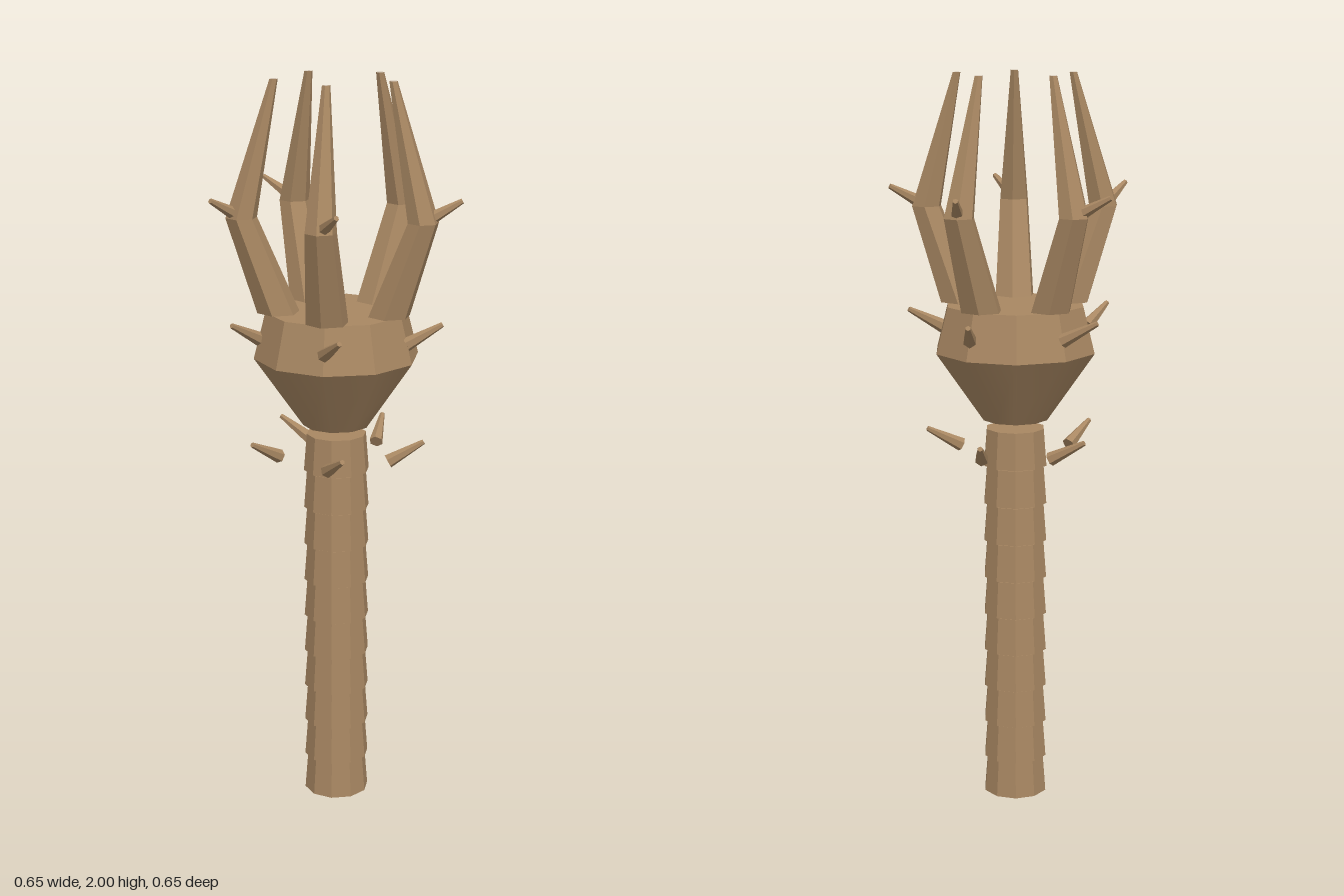
import * as THREE from 'three';

// Facet every face of a geometry
function facet(geo) {
  const g = geo.toNonIndexed();
  g.computeVertexNormals();
  return g;
}

export function createModel() {
  const model = new THREE.Group();
  model.name = 'clawStaff';
  const wood = new THREE.MeshStandardMaterial({ color: 0xa88762 });
  wood.name = 'brown wood';
  const pale = new THREE.MeshStandardMaterial({ color: 0xcdbfae });
  pale.name = 'pale tip';

  const staff = new THREE.Group();
  staff.name = 'staff';
  staff.position.set(-0.02, 0, 0.013);
  model.add(staff);

  const add = (parent, geo, mat, name) => {
    const m = new THREE.Mesh(geo, mat);
    m.name = name;
    parent.add(m);
    return m;
  };

  // Ten-sided drum between two heights, with a corner on the x axis
  const drum = (rTop, rBottom, y0, y1, open = false) =>
    new THREE.CylinderGeometry(rTop, rBottom, y1 - y0, 10, 1, open)
      .rotateY(Math.PI / 2)
      .translate(0, (y0 + y1) / 2, 0);

  // Handle: ten tapered rings with thin gaps
  const ring = facet(drum(0.081, 0.089, 0, 0.102));
  for (let i = 0; i < 10; i++) {
    add(staff, ring, wood, 'handleRing').position.y = i * 0.1053;
  }

  // Head: smooth cone below, faceted collar above
  add(staff, drum(0.222, 0.09, 1.075, 1.265), wood, 'headCone');
  add(staff, facet(drum(0.19, 0.222, 1.265, 1.39)), wood, 'headCollar');

  // Claw sections from base to tip: height, distance from axis, radius
  const sections = [
    [1.39, 0.155, 0.057],
    [1.645, 0.25, 0.042],
    [2.0, 0.162, 0.011],
  ];

  // Bent claw with level hexagonal sections, leaning along the given angle
  function clawGeometry(angle) {
    const g = new THREE.CylinderGeometry(1, 1, 2, 6, 2);
    const p = g.attributes.position;
    for (let i = 0; i < p.count; i++) {
      const [y, d, r] = sections[Math.round(p.getY(i)) + 1];
      p.setXYZ(i,
        p.getX(i) * r + Math.cos(angle) * d, y,
        p.getZ(i) * r - Math.sin(angle) * d);
    }
    return facet(g);
  }

  // Thorn pointing outwards, upwards and a little sideways
  const thornAxis = new THREE.Vector3(0.08, 0.052, -0.053);
  const thornLength = thornAxis.length();
  const thorn = facet(new THREE.CylinderGeometry(0.007, 0.019, thornLength, 6)
    .translate(0, thornLength / 2, 0));
  const thornTurn = new THREE.Quaternion().setFromUnitVectors(
    new THREE.Vector3(0, 1, 0), thornAxis.clone().normalize());
  const thornBases = [[0.155, 0.99], [0.205, 1.318], [0.255, 1.648]];

  for (let i = 0; i < 5; i++) {
    const angle = (i * Math.PI * 2) / 5;
    add(staff, clawGeometry(angle), [wood, pale, wood], 'claw');

    const thorns = new THREE.Group();
    thorns.name = 'thorns';
    thorns.rotation.y = angle;
    staff.add(thorns);
    for (const [x, y] of thornBases) {
      const t = add(thorns, thorn, wood, 'thorn');
      t.position.set(x, y, 0);
      t.quaternion.copy(thornTurn);
    }
  }
  return model;
}
